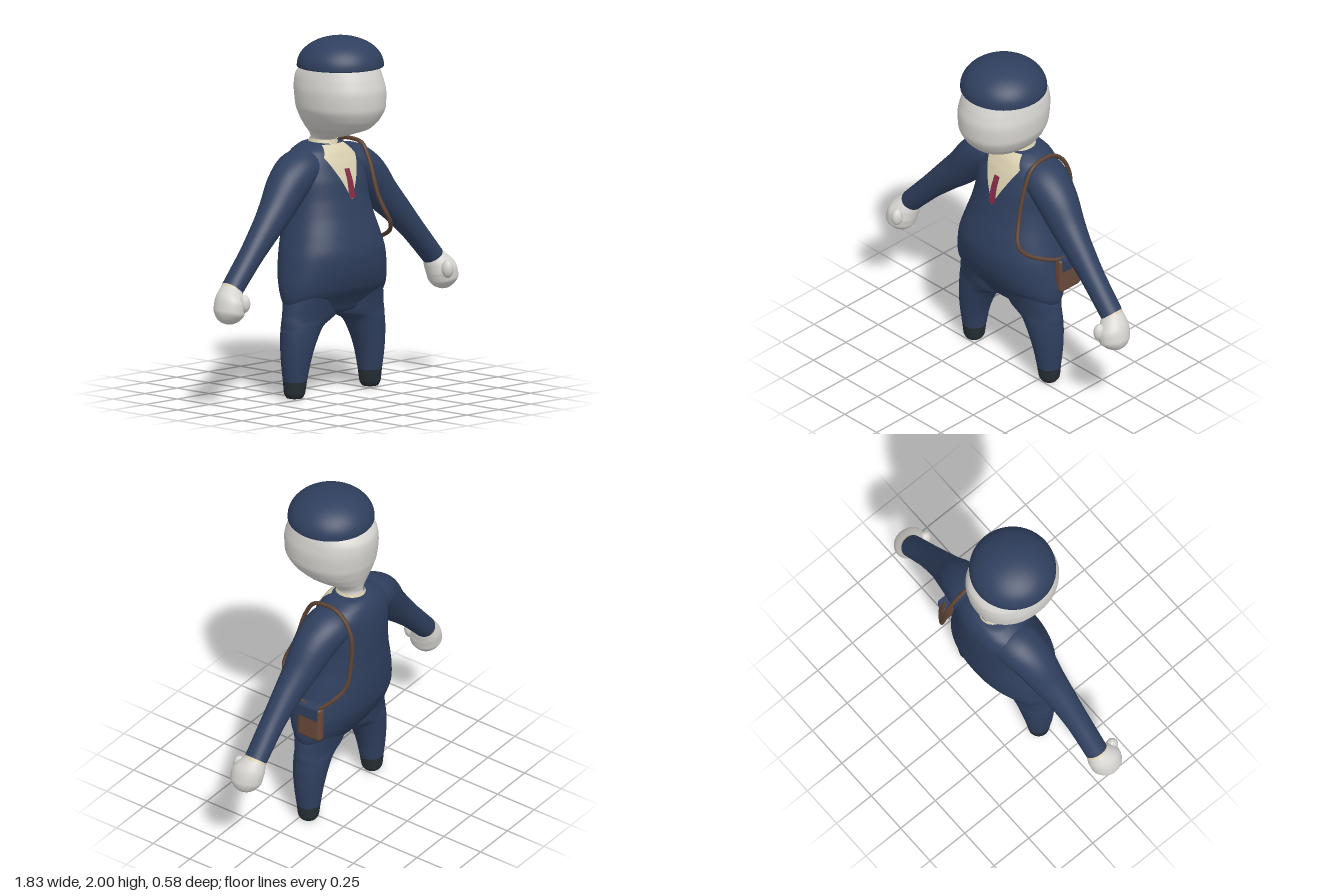
import * as THREE from 'three';
import { RoundedBoxGeometry } from 'three/addons/geometries/RoundedBoxGeometry.js';

const mat = (name, color, side = THREE.FrontSide) => {
  const m = new THREE.MeshStandardMaterial({ color, side });
  m.name = name;
  return m;
};

// Rows are [x, y, half width, front z, back z], smoothly interpolated.
function sampler(rows) {
  const pos = new THREE.CatmullRomCurve3(rows.map(r => new THREE.Vector3(r[0], r[1], 0)));
  const size = new THREE.CatmullRomCurve3(rows.map(r => new THREE.Vector3(r[2], r[3], r[4])));
  return t => {
    const p = pos.getPoint(t), s = size.getPoint(t);
    return { p, d: pos.getTangent(t), a: Math.max(s.x, 0.0005), c: (s.y + s.z) / 2, b: (s.y - s.z) / 2 };
  };
}

// Superellipse cross-sections swept along the rows; tilt turns them across the path.
function loft(rows, { tilt = false, power = 2, seg = 40 } = {}) {
  const at = sampler(rows), n = (rows.length - 1) * 6, v = [], idx = [];
  const pw = x => Math.sign(x) * Math.pow(Math.abs(x), 2 / power);
  for (let i = 0; i <= n; i++) {
    const { p, d, a, b, c } = at(i / n);
    const ux = tilt ? -d.y : -Math.sign(d.y), uy = tilt ? d.x : 0;
    for (let j = 0; j < seg; j++) {
      const g = j / seg * Math.PI * 2, cu = pw(Math.cos(g)) * a, sv = pw(Math.sin(g)) * b;
      v.push(p.x + ux * cu, p.y + uy * cu, c + sv);
      if (i < n) {
        const k = i * seg, q = (j + 1) % seg;
        idx.push(k + j, k + q, k + seg + j, k + q, k + seg + q, k + seg + j);
      }
    }
  }
  const geo = new THREE.BufferGeometry();
  geo.setAttribute('position', new THREE.Float32BufferAttribute(v, 3));
  geo.setIndex(idx);
  geo.computeVertexNormals();
  return geo;
}

const TORSO = [
  [0, 0.44, 0.02, -0.03, -0.05], [0, 0.47, 0.28, 0.05, -0.13], [0, 0.53, 0.355, 0.085, -0.17],
  [0, 0.6, 0.368, 0.135, -0.215], [0, 0.7, 0.355, 0.17, -0.26], [0, 0.8, 0.335, 0.18, -0.275],
  [0, 0.9, 0.305, 0.16, -0.28], [0, 1.0, 0.275, 0.13, -0.28], [0, 1.1, 0.257, 0.105, -0.283],
  [0, 1.2, 0.255, 0.085, -0.283], [0, 1.3, 0.245, 0.045, -0.275], [0, 1.36, 0.19, 0.01, -0.255],
  [0, 1.395, 0.115, -0.035, -0.22], [0, 1.405, 0.02, -0.1, -0.14],
];
const POWER = 2.2;

// Front surface of the torso at a given x and y.
const torsoAt = sampler(TORSO);
function torsoFront(x, y) {
  let lo = 0, hi = 1;
  for (let i = 0; i < 30; i++) {
    const mid = (lo + hi) / 2;
    if (torsoAt(mid).p.y < y) lo = mid; else hi = mid;
  }
  const { a, b, c } = torsoAt(lo);
  return c + b * Math.pow(Math.max(0, 1 - Math.pow(Math.abs(x) / a, POWER)), 1 / POWER);
}

// Thin patch lying on the chest, between two heights with a half width by height.
function chestPatch(y0, y1, half, lift) {
  const geo = new THREE.PlaneGeometry(2, 1, 12, 24), p = geo.attributes.position;
  for (let i = 0; i < p.count; i++) {
    const y = y0 + (p.getY(i) + 0.5) * (y1 - y0), x = p.getX(i) * half(y);
    p.setXYZ(i, x, y, torsoFront(x, y) + lift);
  }
  geo.computeVertexNormals();
  return geo;
}

export function createModel() {
  const model = new THREE.Group();
  model.name = 'figure';
  const navy = mat('navy cloth', 0x2f3f5e), skin = mat('pale skin', 0xd6d4d0);
  const cream = mat('cream shirt', 0xd9cfb0, THREE.DoubleSide);
  const red = mat('wine tie', 0x842c48, THREE.DoubleSide);
  const leather = mat('brown leather', 0x68483a), strapMat = mat('dark brown strap', 0x5c4233);
  const shoeMat = mat('dark shoe', 0x262f35);
  const add = (name, geo, material, parent = model) => {
    const m = new THREE.Mesh(geo, material);
    m.name = name;
    parent.add(m);
    return m;
  };

  // Suit body, shirt front and tie
  add('torso', loft(TORSO, { power: POWER, seg: 56 }), navy);
  add('shirtFront', chestPatch(1.1, 1.392,
    y => y < 1.33 ? 0.002 + (y - 1.1) * 0.52 : 0.122 - (y - 1.33) * 0.65, 0.006), cream);
  add('tie', chestPatch(1.105, 1.265, y => 0.024 - (y - 1.105) * 0.03, 0.011), red);
  add('collar', loft([[0, 1.385, 0.085, -0.025, -0.205], [0, 1.415, 0.072, -0.035, -0.193]]), cream);

  // Head with neck
  add('head', loft([
    [0, 1.37, 0.066, -0.035, -0.188], [0, 1.415, 0.066, -0.035, -0.186], [0, 1.445, 0.085, 0.06, -0.19],
    [0, 1.49, 0.148, 0.195, -0.203], [0, 1.54, 0.19, 0.25, -0.22], [0, 1.61, 0.223, 0.283, -0.24],
    [0, 1.7, 0.229, 0.285, -0.25], [0, 1.78, 0.217, 0.262, -0.246], [0, 1.84, 0.198, 0.232, -0.2],
    [0, 1.9, 0.13, 0.15, -0.11], [0, 1.93, 0.01, 0.03, 0.01],
  ], { power: 2.15, seg: 48 }), skin);

  // Domed cap, closed underneath
  const dome = [new THREE.Vector2(0, 1.832), new THREE.Vector2(0.236, 1.832), new THREE.Vector2(0.24, 1.834)];
  for (let i = 0; i <= 16; i++) {
    const a = i / 16 * Math.PI / 2;
    dome.push(new THREE.Vector2(0.24 * Math.cos(a), 1.842 + 0.158 * Math.sin(a)));
  }
  add('cap', new THREE.LatheGeometry(dome, 48), navy).position.z = 0.02;

  // Limbs, mirrored by the sign of x
  for (const s of [1, -1]) {
    const side = s > 0 ? 'left' : 'right';
    const flip = rows => rows.map(([x, ...rest]) => [x * s, ...rest]);
    add(side + 'Leg', loft(flip([
      [0.293, 0.1, 0.067, 0.025, -0.108], [0.288, 0.2, 0.083, 0.04, -0.12], [0.272, 0.3, 0.105, 0.052, -0.13],
      [0.238, 0.4, 0.136, 0.06, -0.138], [0.19, 0.45, 0.183, 0.066, -0.142],
      [0.182, 0.52, 0.178, 0.08, -0.155], [0.18, 0.6, 0.16, 0.1, -0.18],
    ])), navy);
    add(side + 'Shoe', loft(flip([
      [0.295, 0, 0.01, -0.035, -0.05], [0.295, 0.006, 0.042, 0.0, -0.085], [0.295, 0.03, 0.058, 0.015, -0.1],
      [0.293, 0.1, 0.067, 0.025, -0.108],
    ])), shoeMat);
    add(side + 'Arm', loft(flip([
      [0.08, 1.28, 0.09, 0, -0.24], [0.2, 1.262, 0.108, 0.028, -0.238], [0.3, 1.19, 0.115, 0.032, -0.21],
      [0.41, 1.065, 0.1, 0.025, -0.17], [0.5, 0.975, 0.085, 0.022, -0.14],
      [0.64, 0.83, 0.067, 0.02, -0.115], [0.785, 0.672, 0.06, 0.022, -0.107],
    ]), { tilt: true }), navy);
    add(side + 'Cuff', loft(flip([
      [0.778, 0.68, 0.058, 0.02, -0.105], [0.793, 0.661, 0.06, 0.024, -0.107],
    ]), { tilt: true }), cream);
    add(side + 'Hand', loft(flip([
      [0.78, 0.685, 0.052, 0.012, -0.1], [0.8, 0.648, 0.068, 0.045, -0.108], [0.824, 0.6, 0.081, 0.078, -0.112],
      [0.838, 0.55, 0.081, 0.078, -0.105], [0.848, 0.51, 0.06, 0.045, -0.075], [0.852, 0.492, 0.03, 0.015, -0.045],
      [0.853, 0.488, 0.005, -0.01, -0.02],
    ]), { tilt: true }), skin);
    const thumb = add(side + 'Thumb', new THREE.SphereGeometry(0.036, 20, 14), skin);
    thumb.scale.set(0.9, 1.4, 1);
    thumb.position.set(0.795 * s, 0.605, 0.062);
  }

  // Shoulder strap looping over the left shoulder to the bag
  const strap = new THREE.CatmullRomCurve3([
    [0.195, 1.392, -0.09], [0.198, 1.375, -0.01], [0.2, 1.29, 0.045], [0.21, 1.09, 0.108], [0.255, 0.95, 0.152],
    [0.29, 0.9, 0.12], [0.345, 0.845, 0.01], [0.367, 0.825, -0.07], [0.367, 0.825, -0.16],
    [0.335, 0.865, -0.215], [0.26, 0.95, -0.272], [0.225, 1.1, -0.282], [0.21, 1.24, -0.276],
    [0.2, 1.33, -0.232], [0.196, 1.385, -0.16],
  ].map(p => new THREE.Vector3(...p)), true);
  add('bagStrap', new THREE.TubeGeometry(strap, 120, 0.012, 8, true), strapMat);

  // Satchel with a folded flap
  const bag = new THREE.Group();
  bag.name = 'bag';
  bag.position.set(0.367, 0.725, -0.112);
  bag.rotation.z = 0.03;
  model.add(bag);
  add('bagBody', new RoundedBoxGeometry(0.055, 0.21, 0.155, 4, 0.02), leather, bag);
  add('flapTop', new RoundedBoxGeometry(0.062, 0.008, 0.135, 2, 0.003), navy, bag).position.set(0.006, 0.105, 0);
  add('flapFront', new RoundedBoxGeometry(0.008, 0.072, 0.135, 2, 0.003), navy, bag).position.set(0.034, 0.07, 0);
  return model;
}
